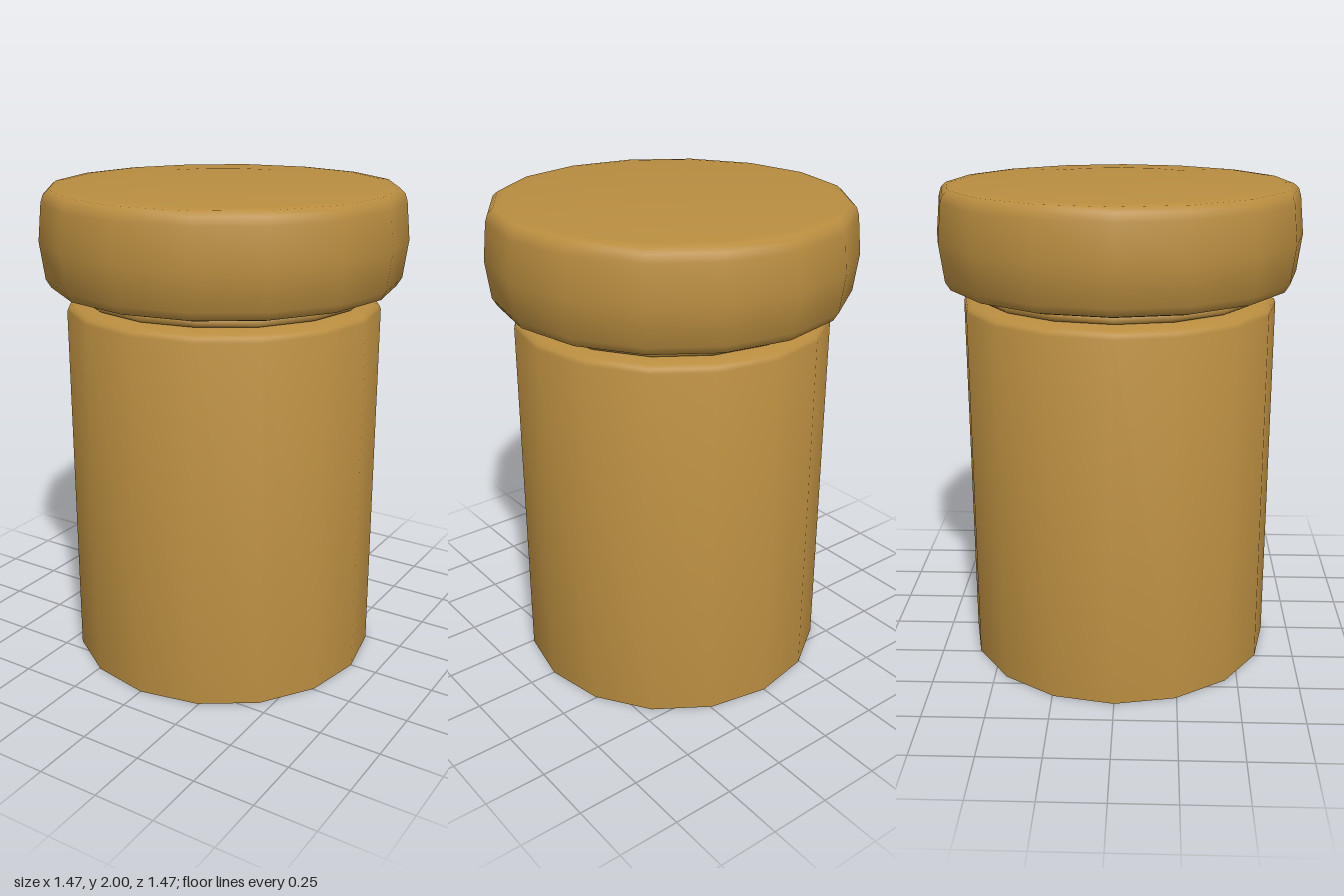
import * as THREE from 'three';
import { toCreasedNormals } from 'three/addons/utils/BufferGeometryUtils.js';

const SIDES = 16;

// Turned part: profile of [radius, height] pairs from bottom centre to top centre
function turned(name, profile, material) {
  const points = profile.map(([r, y]) => new THREE.Vector2(r, y));
  const geometry = toCreasedNormals(new THREE.LatheGeometry(points, SIDES), 0.9);
  const mesh = new THREE.Mesh(geometry, material);
  mesh.name = name;
  return mesh;
}

export function createModel() {
  const group = new THREE.Group();
  group.name = 'lidded jar';
  const material = new THREE.MeshStandardMaterial({ color: 0xb98d40 });

  // Cylindrical body with a softened shoulder
  group.add(turned('body', [
    [0, 0], [0.637, 0], [0.637, 1.49], [0.63, 1.505], [0.61, 1.515], [0.56, 1.53], [0, 1.53],
  ], material));

  // Narrow neck with a thin raised band
  group.add(turned('neck', [
    [0, 1.5], [0.56, 1.5], [0.56, 1.53], [0.575, 1.532], [0.583, 1.54],
    [0.583, 1.56], [0.575, 1.568], [0.56, 1.57], [0.56, 1.6], [0, 1.6],
  ], material));

  // Bulging lid with rounded rims and a slightly domed top
  group.add(turned('lid', [
    [0, 1.575], [0.66, 1.577], [0.695, 1.587], [0.715, 1.62], [0.735, 1.77],
    [0.72, 1.92], [0.71, 1.95], [0.69, 1.968], [0.65, 1.973], [0.35, 1.99], [0, 2],
  ], material));

  return group;
}
